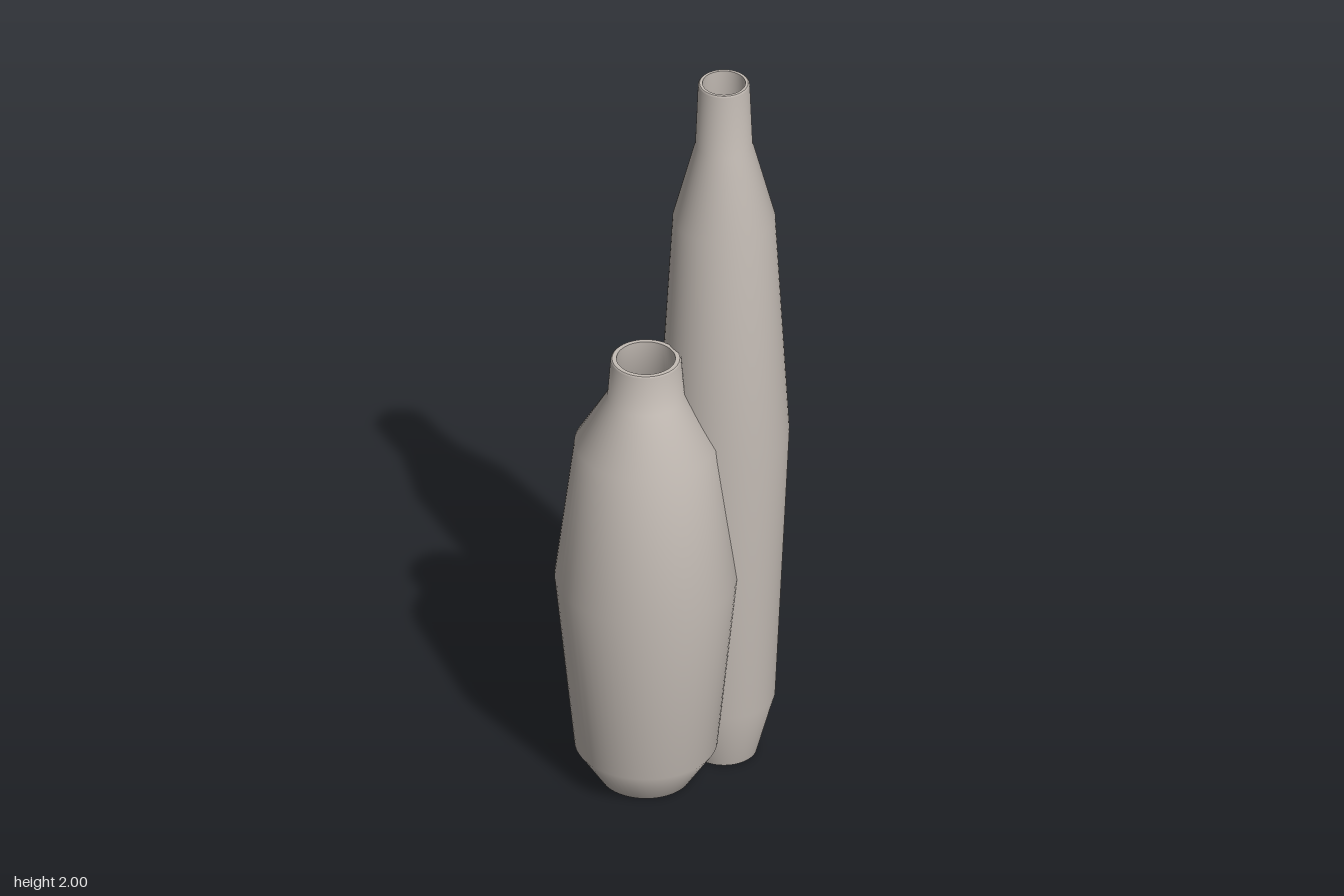
import * as THREE from 'three';

const ceramic = new THREE.MeshStandardMaterial({ color: 0xc4bcb5 });
ceramic.name = 'warm grey ceramic';

// Revolves a profile of [radius, height] pairs
function turned(name, points) {
  const profile = points.map(([r, y]) => new THREE.Vector2(r, y));
  const mesh = new THREE.Mesh(new THREE.LatheGeometry(profile, 64), ceramic);
  mesh.name = name;
  return mesh;
}

// Hollow vase: outer wall, rounded lip, inner wall with floor, and underside
function vase(name, x, wall, outer) {
  const group = new THREE.Group();
  group.name = name;
  const [topR, topY] = outer[outer.length - 1];
  const bevel = 0.004;
  const body = [...outer.slice(0, -1), [topR, topY - bevel], [topR - bevel, topY]];
  const inner = outer.map(([r, y], i) => [r - wall, i === 0 ? y + wall : y]).reverse();
  group.add(
    turned('outerWall', body),
    turned('rim', [[topR - bevel, topY], [topR - wall, topY]]),
    turned('innerWall', inner),
    turned('innerFloor', [[outer[0][0] - wall, wall], [0, wall]]),
    turned('base', [[0, 0], [outer[0][0], 0]])
  );
  group.position.x = x;
  return group;
}

export function createModel() {
  const model = new THREE.Group();
  model.name = 'vasePair';
  model.add(
    vase('wideVase', -0.082, 0.015, [
      [0.115, 0], [0.18, 0.1], [0.23, 0.6], [0.18, 1.0], [0.097, 1.14], [0.089, 1.25],
    ]),
    vase('tallVase', 0.147, 0.011, [
      [0.083, 0], [0.129, 0.17], [0.165, 0.96], [0.129, 1.6], [0.072, 1.82], [0.065, 2],
    ])
  );
  return model;
}
